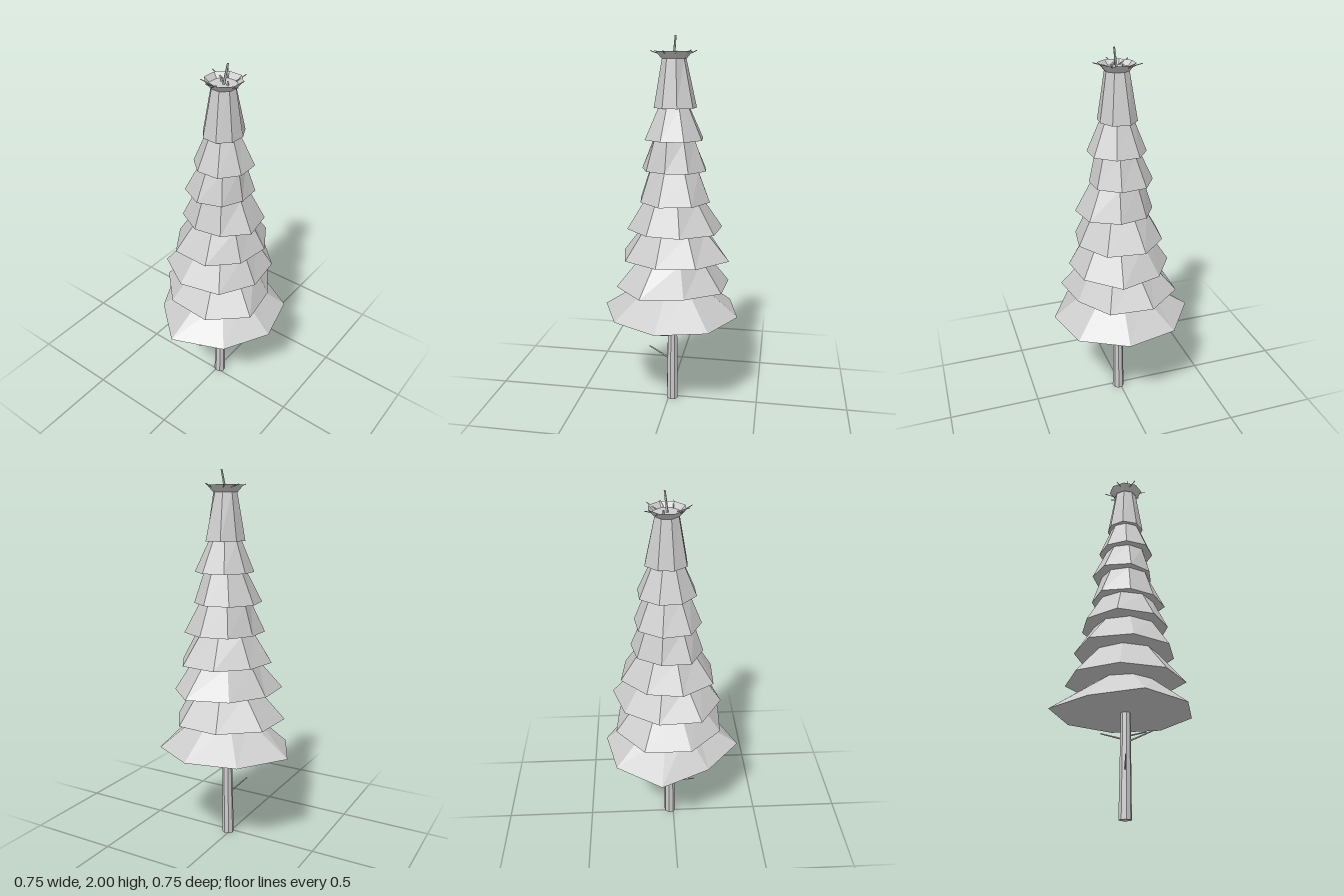
import * as THREE from 'three';

const CX = 0.02, CZ = -0.03; // axis of the foliage

// Faceted loft through rings of {y, radii, phase (degrees), x, z}, closed at both ends
function loft(rings, sides = 8) {
  const loops = rings.map(({ y, radii, phase = 0, x = CX, z = CZ }) =>
    Array.from({ length: sides }, (_, i) => {
      const a = THREE.MathUtils.degToRad(phase + (i * 360) / sides);
      const r = Array.isArray(radii) ? radii[i] : radii;
      return new THREE.Vector3(x + Math.cos(a) * r, y, z + Math.sin(a) * r);
    }));
  const centre = ({ y, x = CX, z = CZ }) => new THREE.Vector3(x, y, z);
  const pts = [];
  const last = loops.length - 1;
  for (let i = 0; i < sides; i++) {
    const j = (i + 1) % sides;
    for (let k = 0; k < last; k++) {
      const b = loops[k], t = loops[k + 1];
      pts.push(b[i], t[i], b[j], b[j], t[i], t[j]);
    }
    pts.push(centre(rings[0]), loops[0][i], loops[0][j]);
    pts.push(centre(rings[last]), loops[last][j], loops[last][i]);
  }
  const geo = new THREE.BufferGeometry().setFromPoints(pts);
  geo.computeVertexNormals();
  return geo;
}

export function createModel() {
  const group = new THREE.Group();
  const grey = new THREE.MeshStandardMaterial({ color: 0xcccccc, flatShading: true });
  grey.name = 'pale grey';

  const add = (name, geo) => {
    const mesh = new THREE.Mesh(geo, grey);
    mesh.name = name;
    group.add(mesh);
    return mesh;
  };

  // Thin tapered rod between two points
  const twig = (name, from, to, r = 0.005) => {
    const a = new THREE.Vector3(...from), b = new THREE.Vector3(...to);
    const dir = b.clone().sub(a);
    const mesh = add(name, new THREE.CylinderGeometry(r * 0.7, r, dir.length(), 5));
    mesh.position.copy(a).add(b).multiplyScalar(0.5);
    mesh.quaternion.setFromUnitVectors(new THREE.Vector3(0, 1, 0), dir.normalize());
  };

  // Trunk
  add('trunk', loft([
    { y: 0, radii: 0.033, phase: 10, x: 0.012, z: -0.02 },
    { y: 0.6, radii: 0.025, phase: 10, x: 0.017, z: -0.023 },
  ]));

  // Bare branches on the trunk
  [
    [[0.005, 0.24, 0], [-0.035, 0.285, 0.12]],
    [[0.005, 0.40, -0.03], [-0.08, 0.45, -0.14]],
    [[0.025, 0.46, -0.03], [0.085, 0.51, -0.155]],
    [[0.025, 0.415, -0.025], [0.15, 0.465, -0.08]],
    [[0.025, 0.385, -0.01], [0.13, 0.43, 0.07]],
  ].forEach(([a, b]) => twig('bareBranch', a, b));

  // Foliage tiers: bottom height, phase, top radius, uneven bottom radii
  const tiers = [
    [0.535, 7, 0.16, [0.355, 0.36, 0.40, 0.34, 0.40, 0.37, 0.357, 0.361]],
    [0.695, 25, 0.18, [0.317, 0.314, 0.311, 0.323, 0.324, 0.308, 0.30, 0.265]],
    [0.855, 12, 0.175, [0.262, 0.28, 0.294, 0.309, 0.277, 0.282, 0.311, 0.273]],
    [1.01, 29, 0.155, [0.23, 0.25, 0.269, 0.251, 0.243, 0.262, 0.261, 0.237]],
    [1.165, 12, 0.135, [0.22, 0.19, 0.19, 0.211, 0.187, 0.194, 0.20, 0.219]],
    [1.325, 10, 0.112, [0.145, 0.16, 0.178, 0.195, 0.187, 0.186, 0.175, 0.165]],
    [1.485, 18, 0.085, [0.153, 0.158, 0.153, 0.15, 0.15, 0.16, 0.159, 0.16]],
    [1.645, 28, 0.062, [0.1, 0.105, 0.108, 0.105, 0.105, 0.118, 0.119, 0.1]],
  ];
  tiers.forEach(([y, phase, top, radii], i) => {
    const yTop = i < tiers.length - 1 ? tiers[i + 1][0] : 1.89;
    add('foliageTier', loft([{ y, radii, phase }, { y: yTop, radii: top, phase }]));
  });

  // Flared crown with a shallow hollow
  add('crown', loft([
    { y: 1.888, radii: 0.064, phase: 25 },
    { y: 1.924, radii: 0.095, phase: 25 },
    { y: 1.9, radii: 0.071, phase: 25 },
  ]));

  // Twigs sticking out over the crown rim
  [
    [[0, 1.905, -0.09], [-0.035, 1.927, -0.136]],
    [[-0.02, 1.905, -0.072], [-0.09, 1.925, -0.088]],
    [[0.055, 1.905, -0.08], [0.08, 1.93, -0.125]],
    [[0.085, 1.905, -0.045], [0.115, 1.927, -0.06]],
    [[0.067, 1.905, 0.002], [0.13, 1.923, 0.008]],
    [[-0.01, 1.905, 0.02], [-0.06, 1.927, 0.042]],
    [[0.01, 1.905, 0.03], [0.037, 1.927, 0.09]],
    [[0.016, 1.905, 0.02], [-0.003, 1.927, 0.074]],
  ].forEach(([a, b]) => twig('crownTwig', a, b, 0.003));

  // Stubs and leader inside the crown
  twig('stub', [-0.005, 1.89, -0.048], [-0.005, 1.92, -0.048], 0.006);
  twig('stub', [0.045, 1.89, -0.028], [0.045, 1.92, -0.028], 0.006);
  twig('leader', [0.02, 1.89, -0.028], [0.036, 2, -0.04], 0.007);

  return group;
}
